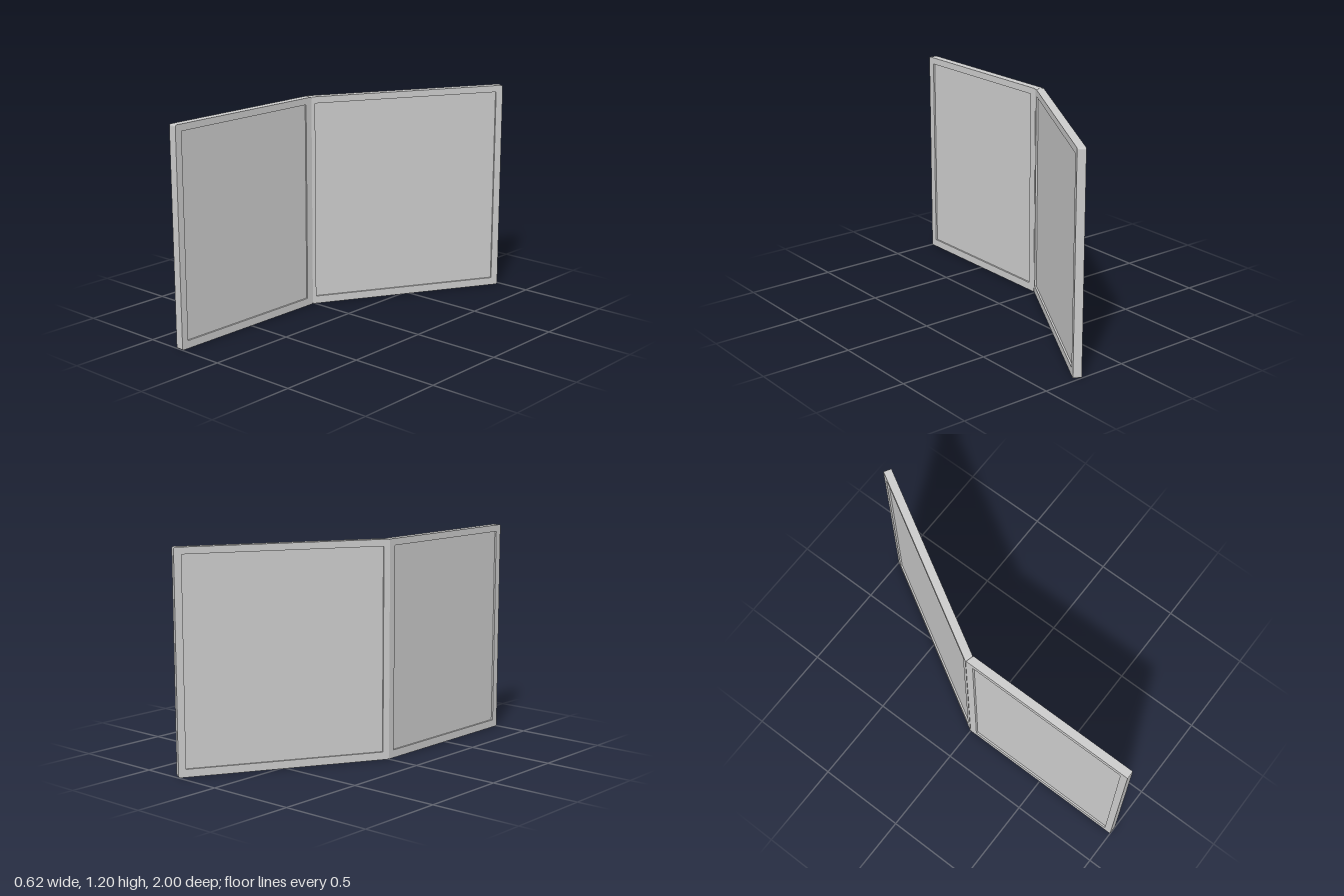
import * as THREE from 'three';

const HEIGHT = 1.195, THICK = 0.045, RIM = 0.04, RECESS = 0.01, ROUND = 0.01;
const MITRE = THICK * Math.tan(Math.PI / 12); // half of the 30 degree fold

// Rectangle with small rounded corners, used for the frame outline
function roundedRect(w, h, r) {
  const s = new THREE.Shape();
  s.moveTo(r, 0);
  s.lineTo(w - r, 0);
  s.quadraticCurveTo(w, 0, w, r);
  s.lineTo(w, h - r);
  s.quadraticCurveTo(w, h, w - r, h);
  s.lineTo(r, h);
  s.quadraticCurveTo(0, h, 0, h - r);
  s.lineTo(0, r);
  s.quadraticCurveTo(0, 0, r, 0);
  return s;
}

// One framed leaf: x along its length, y up, z through its thickness.
// mitre(u) gives how far a point on the inside of the fold moves along x.
function createLeaf(name, length, holeStart, holeEnd, mitre) {
  const material = new THREE.MeshStandardMaterial({ color: 0xcccccc, flatShading: true });
  const leaf = new THREE.Group();
  leaf.name = name;

  const outline = roundedRect(length, HEIGHT, ROUND);
  const y0 = RIM + 0.003, y1 = HEIGHT - RIM + 0.003;
  outline.holes.push(new THREE.Path([
    new THREE.Vector2(holeStart, y0), new THREE.Vector2(holeStart, y1),
    new THREE.Vector2(holeEnd, y1), new THREE.Vector2(holeEnd, y0),
  ]));
  const geometry = new THREE.ExtrudeGeometry(outline, { depth: THICK, bevelEnabled: false, curveSegments: 4 });
  const pos = geometry.attributes.position;
  for (let i = 0; i < pos.count; i++) {
    if (pos.getZ(i) > THICK / 2) pos.setX(i, pos.getX(i) + mitre(pos.getX(i)));
  }
  geometry.computeVertexNormals();
  const frame = new THREE.Mesh(geometry, material);
  frame.name = name + 'Frame';

  // Infill board, set back from both faces of the frame
  const board = new THREE.Mesh(
    new THREE.BoxGeometry(holeEnd - holeStart + 0.02, y1 - y0 + 0.02, THICK - 2 * RECESS), material);
  board.position.set((holeStart + holeEnd) / 2, (y0 + y1) / 2, THICK / 2);
  board.name = name + 'Board';

  leaf.add(frame, board);
  return leaf;
}

export function createModel() {
  const model = new THREE.Group();
  model.name = 'foldingScreen';

  // Straight leaf, running from the front back to the fold
  const frontLeaf = createLeaf('frontLeaf', 1, RIM, 1 - 0.043, (u) => (u > 0.9 ? -MITRE : 0));
  frontLeaf.rotation.y = Math.PI / 2;
  frontLeaf.position.set(-0.307, 0, 1);

  // Angled leaf, running from the fold to the back
  const length = 1.155;
  const backLeaf = createLeaf('backLeaf', length, 0.034, length - RIM, (u) => (u < 0.02 ? MITRE : 0));
  backLeaf.rotation.y = Math.PI / 3;
  backLeaf.position.set(-0.309, 0, 0);

  model.add(frontLeaf, backLeaf);
  return model;
}
